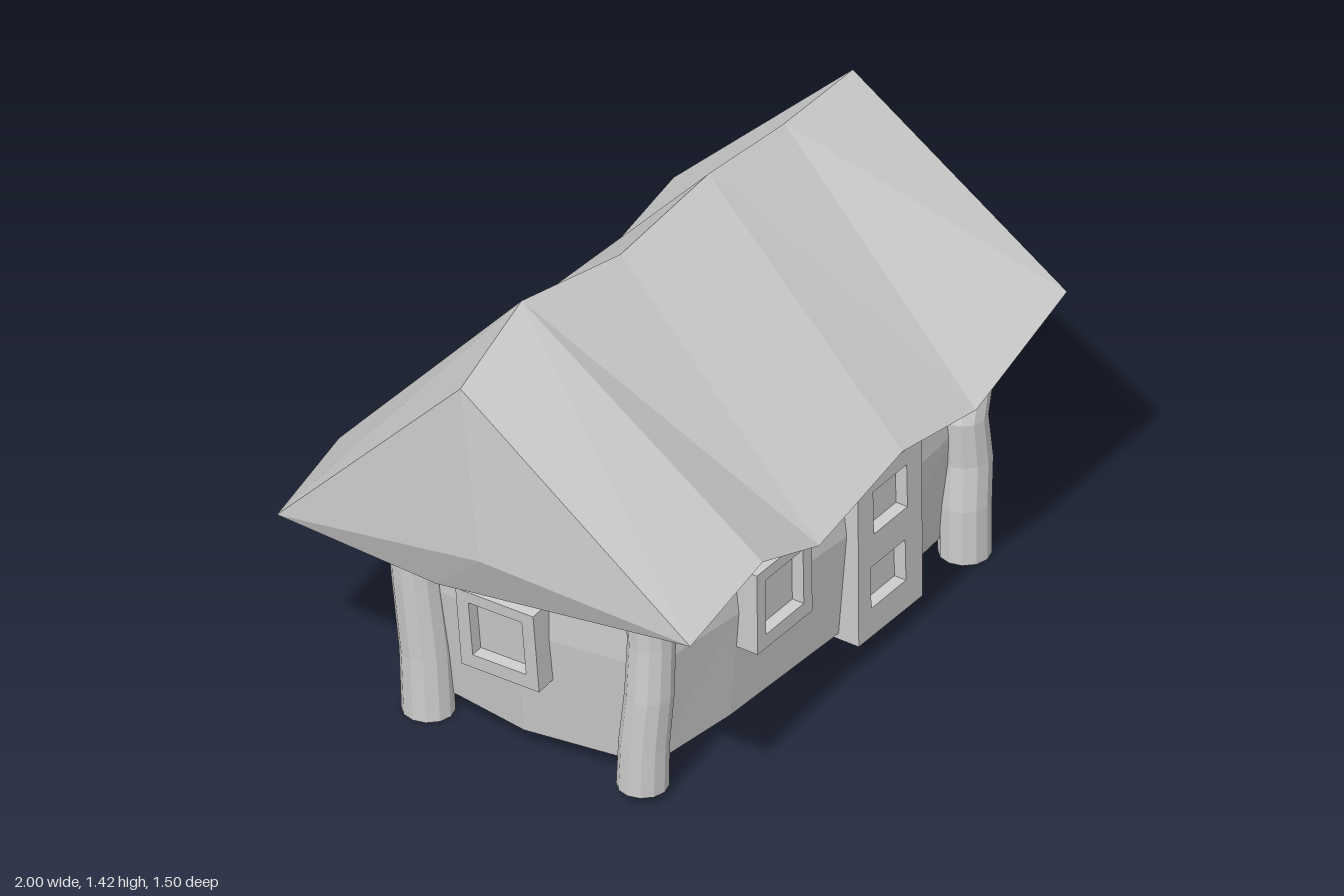
import * as THREE from 'three';

const mat = new THREE.MeshStandardMaterial({ color: 0xcccccc, flatShading: true });

function mesh(name, geo) {
  const m = new THREE.Mesh(geo, mat);
  m.name = name;
  return m;
}

// Faceted skin over closed rings; each ring runs counter-clockwise seen from the
// end of the stack. Ends are closed by fans around the given hub points.
function loft(rings, startHub, endHub, flip = () => false) {
  const pos = [];
  const tri = (a, b, c) => pos.push(...a, ...b, ...c);
  const n = rings[0].length;
  for (let i = 0; i < rings.length - 1; i++) {
    for (let j = 0; j < n; j++) {
      const k = (j + 1) % n;
      const a = rings[i][j], b = rings[i][k], c = rings[i + 1][k], d = rings[i + 1][j];
      if (flip(i, j)) { tri(a, b, d); tri(b, c, d); }
      else { tri(a, b, c); tri(a, c, d); }
    }
  }
  const first = rings[0], last = rings[rings.length - 1];
  for (let j = 0; j < n; j++) {
    const k = (j + 1) % n;
    tri(startHub, first[k], first[j]);
    tri(endHub, last[j], last[k]);
  }
  const g = new THREE.BufferGeometry();
  g.setAttribute('position', new THREE.Float32BufferAttribute(pos, 3));
  g.computeVertexNormals();
  return g;
}

// Sagging roof: ridge, front eave, soffit middle and back eave at six stations
function makeRoof() {
  const ridge = [[-0.98, 1.33, -0.03], [-0.62, 1.42, -0.07], [-0.2, 1.37, -0.02],
    [0.22, 1.42, -0.01], [0.58, 1.4, 0], [0.92, 1.4, 0]];
  const front = [[-0.95, 0.73, 0.75], [-0.55, 0.79, 0.72], [-0.24, 0.67, 0.7],
    [0.2, 0.745, 0.68], [0.55, 0.7, 0.69], [1, 0.86, 0.69]];
  const back = [[-0.95, 0.63, -0.69], [-0.55, 0.65, -0.755], [-0.2, 0.67, -0.71],
    [0.24, 0.7, -0.65], [0.58, 0.64, -0.67], [0.97, 0.75, -0.66]];
  const soffit = front.map((f, i) => f.map((v, k) => (v + back[i][k]) / 2));
  soffit[0] = [-0.93, 0.59, -0.15];
  const rings = ridge.map((r, i) => [r, front[i], soffit[i], back[i]]);
  return mesh('roof', loft(rings, [-1, 0.78, 0.05], [0.98, 0.9, 0], (i, j) => i === 0 && j === 0));
}

// Bulging walls: three levels of a ten-point outline
function makeWalls() {
  const outline = (xl, xr, zf, zb, bulge, y, lift) => [
    [xr, y, zf], [xr + bulge + 0.03, y + lift, 0.03], [xr, y, zb],
    [0.3, y, zb - bulge], [-0.32, y, zb - bulge], [xl, y, zb],
    [xl - bulge, y, 0.03], [xl, y, zf],
    [-0.35, y, zf + bulge * 0.6], [0.15, y + lift * 0.6, zf + bulge]];
  const rings = [
    outline(-0.69, 0.75, 0.43, -0.37, 0.06, 0.06, 0.025),
    outline(-0.73, 0.8, 0.46, -0.38, 0.06, 0.42, 0),
    outline(-0.73, 0.79, 0.43, -0.37, 0.05, 0.77, 0)];
  return mesh('walls', loft(rings, [0, 0.06, 0.03], [0, 0.8, 0.03]));
}

// Crooked post through points [x, y, z, radius]
function makePost(name, points) {
  const sides = 12;
  const rings = points.map(([x, y, z, r]) => Array.from({ length: sides }, (_, j) => {
    const a = (j / sides) * Math.PI * 2;
    return [x + r * Math.cos(a), y, z - r * Math.sin(a)];
  }));
  return mesh(name, loft(rings, points[0].slice(0, 3), points[points.length - 1].slice(0, 3)));
}

// Framed panel facing +z with its front at z = 0; holes are [x, y, w, h, skew]
function makePanel(name, w, h, holes, skew = 0.008) {
  const quad = (target, x, y, a, b, s) => {
    target.moveTo(x - a / 2 + s, y - b / 2);
    target.lineTo(x + a / 2, y - b / 2 + s);
    target.lineTo(x + a / 2 - s, y + b / 2);
    target.lineTo(x - a / 2, y + b / 2 - s);
    target.closePath();
    return target;
  };
  const shape = quad(new THREE.Shape(), 0, 0, w, h, skew);
  const group = new THREE.Group();
  group.name = name;
  for (const [x, y, a, b] of holes) {
    shape.holes.push(quad(new THREE.Path(), x, y, a, b, skew));
    const pane = mesh('pane', new THREE.BoxGeometry(a + 0.02, b + 0.02, 0.04));
    pane.position.set(x, y, -0.06);
    group.add(pane);
  }
  const frame = mesh('frame', new THREE.ExtrudeGeometry(shape, { depth: 0.11, bevelEnabled: false }));
  frame.position.z = -0.11;
  group.add(frame);
  return group;
}

export function createModel() {
  const model = new THREE.Group();
  model.name = 'cottage';
  model.add(makeRoof(), makeWalls());

  // Corner posts
  model.add(
    makePost('frontLeftPost', [[0.8, 0, 0.475, 0.078], [0.8, 0.18, 0.475, 0.078], [0.815, 0.32, 0.47, 0.077],
      [0.8, 0.47, 0.47, 0.072], [0.825, 0.54, 0.465, 0.072], [0.8, 0.65, 0.455, 0.07], [0.815, 0.8, 0.455, 0.074]]),
    makePost('backLeftPost', [[0.79, 0.03, -0.37, 0.078], [0.8, 0.25, -0.365, 0.076],
      [0.8, 0.5, -0.37, 0.076], [0.8, 0.75, -0.36, 0.076]]),
    makePost('frontRightPost', [[-0.745, 0.03, 0.44, 0.076], [-0.745, 0.18, 0.445, 0.074],
      [-0.74, 0.35, 0.46, 0.072], [-0.73, 0.52, 0.46, 0.07], [-0.73, 0.65, 0.455, 0.072], [-0.725, 0.77, 0.45, 0.074]]),
    makePost('backRightPost', [[-0.74, 0, -0.31, 0.078], [-0.74, 0.2, -0.32, 0.076],
      [-0.755, 0.45, -0.34, 0.074], [-0.76, 0.7, -0.35, 0.076]]));

  // Windows: name, position, turn about y, backward lean
  const windows = [
    ['frontWindow', -0.213, 0.438, 0.56, 0, 0],
    ['leftWindow', 0.955, 0.413, 0.08, Math.PI / 2, 0],
    ['rightWindow', -0.84, 0.405, 0, -Math.PI / 2, 0.09],
    ['backWindowLeft', 0.31, 0.395, -0.465, Math.PI, 0.06],
    ['backWindowRight', -0.3, 0.385, -0.465, Math.PI, 0.06]];
  for (const [name, x, y, z, turn, lean] of windows) {
    const win = makePanel(name, 0.275, 0.275, [[0, 0.005, 0.19, 0.19]], 0.004);
    win.position.set(x, y, z);
    win.rotation.set(lean, turn, 0, 'YXZ');
    model.add(win);
  }

  // Door with two recessed panels
  const door = makePanel('door', 0.32, 0.55, [[0, 0.145, 0.17, 0.15], [-0.01, -0.105, 0.175, 0.145]], 0.004);
  door.position.set(0.31, 0.33, 0.56);
  model.add(door);

  return model;
}
